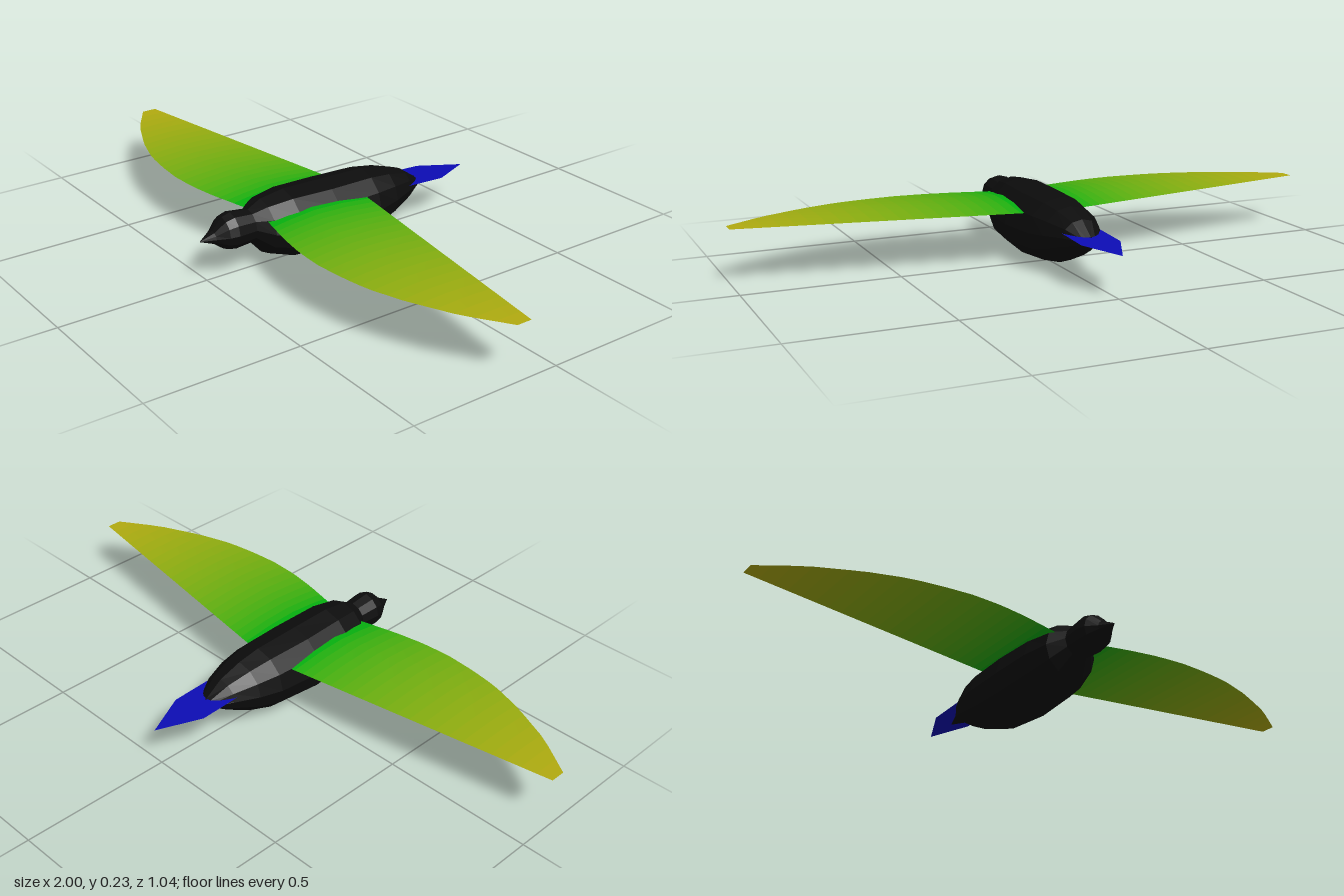
import * as THREE from 'three';
import { toCreasedNormals } from 'three/addons/utils/BufferGeometryUtils.js';

// Skin a list of closed rings (arrays of [x, y, z]) into one surface.
function loft(rings) {
  const n = rings[0].length;
  const index = [];
  for (let i = 0; i < rings.length - 1; i++) {
    for (let j = 0; j < n; j++) {
      const a = i * n + j, b = i * n + (j + 1) % n;
      index.push(a, a + n, b, b, a + n, b + n);
    }
  }
  const geometry = new THREE.BufferGeometry();
  geometry.setAttribute('position', new THREE.Float32BufferAttribute(rings.flat(2), 3));
  geometry.setIndex(index);
  geometry.computeVertexNormals();
  return geometry;
}

// Read a value at x from a list of [x, value] pairs.
function sample(pairs, x) {
  let i = 1;
  while (i < pairs.length - 1 && pairs[i][0] < x) i++;
  const [x0, v0] = pairs[i - 1], [x1, v1] = pairs[i];
  return v0 + (v1 - v0) * (x - x0) / (x1 - x0);
}

// Body, head and beak: stations of z, top y, bottom y, half width
const BODY = [
  [0.52, 0.135, 0.135, 0], [0.475, 0.16, 0.118, 0.027], [0.44, 0.196, 0.092, 0.052],
  [0.41, 0.205, 0.085, 0.058], [0.345, 0.197, 0.09, 0.052], [0.3, 0.221, 0.04, 0.092],
  [0.215, 0.233, 0.01, 0.115], [0.07, 0.23, 0, 0.122], [-0.09, 0.226, 0.013, 0.112],
  [-0.17, 0.213, 0.04, 0.095], [-0.25, 0.187, 0.08, 0.066], [-0.31, 0.145, 0.117, 0.03],
  [-0.385, 0.136, 0.133, 0],
];

function createBody() {
  const sides = 12;
  const rings = BODY.map(([z, top, bottom, half]) =>
    Array.from({ length: sides }, (_, j) => {
      const a = (j / sides) * Math.PI * 2;
      return [half * Math.cos(a), (top + bottom) / 2 + (top - bottom) / 2 * Math.sin(a), z];
    }));
  const mesh = new THREE.Mesh(loft(rings),
    new THREE.MeshStandardMaterial({ color: 0x0c0c0c, flatShading: true }));
  mesh.name = 'body';
  return mesh;
}

// Wing outline and section
const ROOT = 0.04;
const LEADING = [[ROOT, 0.31], [0.2, 0.347], [0.3, 0.363], [0.4, 0.368], [0.5, 0.36],
  [0.6, 0.345], [0.72, 0.307], [0.87, 0.24], [1, 0.155]];
const TRAILING = [[ROOT, -0.05], [1, 0.105]];
const CAMBER = [[0, 0], [0.18, 0.55], [0.42, 1], [0.7, 0.75], [1, 0]];

function wingSection(x, side) {
  const front = sample(LEADING, x), back = sample(TRAILING, x);
  const t = (x - ROOT) / (1 - ROOT);
  const base = 0.172 + 0.005 * t, height = 0.018 * (1 - t);
  const ring = CAMBER.map(([u, h]) => [side * x, base + height * h, front + (back - front) * u]);
  return side > 0 ? ring : ring.reverse();
}

// Narrow bands carry the colour from green at the root to yellow at the tip
function createWing(side) {
  const wing = new THREE.Group();
  wing.name = side > 0 ? 'leftWing' : 'rightWing';
  const green = new THREE.Color(0x06b00f), yellow = new THREE.Color(0xb4aa10);
  const bands = 24;
  const xAt = (i) => ROOT + (1 - ROOT) * (i / bands) ** 1.25;
  for (let i = 0; i < bands; i++) {
    const x0 = xAt(i), x1 = xAt(i + 1);
    const blend = Math.max(0, ((x0 + x1) / 2 - 0.1) / 0.9);
    const geometry = loft([wingSection(x0, side), wingSection(x1, side)]);
    const band = new THREE.Mesh(toCreasedNormals(geometry, 0.6),
      new THREE.MeshStandardMaterial({
        color: green.clone().lerp(yellow, blend), side: THREE.DoubleSide,
      }));
    band.name = 'wingBand';
    wing.add(band);
  }
  return wing;
}

// Thin pointed tail, sloping gently down to its tip
function createTail() {
  const shape = new THREE.Shape([[-0.065, 0.24], [0.065, 0.24], [0.065, 0.38], [0, 0.52],
    [-0.065, 0.38]].map(([x, y]) => new THREE.Vector2(x, y)));
  const geometry = new THREE.ShapeGeometry(shape);
  geometry.rotateX(-Math.PI / 2);
  const p = geometry.attributes.position;
  for (let i = 0; i < p.count; i++) p.setY(i, 0.135 + (p.getZ(i) + 0.52) * 0.045);
  geometry.computeVertexNormals();
  const mesh = new THREE.Mesh(geometry,
    new THREE.MeshStandardMaterial({ color: 0x0c0cb4, side: THREE.DoubleSide }));
  mesh.name = 'tail';
  return mesh;
}

export function createModel() {
  const bird = new THREE.Group();
  bird.name = 'bird';
  bird.add(createBody(), createWing(1), createWing(-1), createTail());
  return bird;
}
